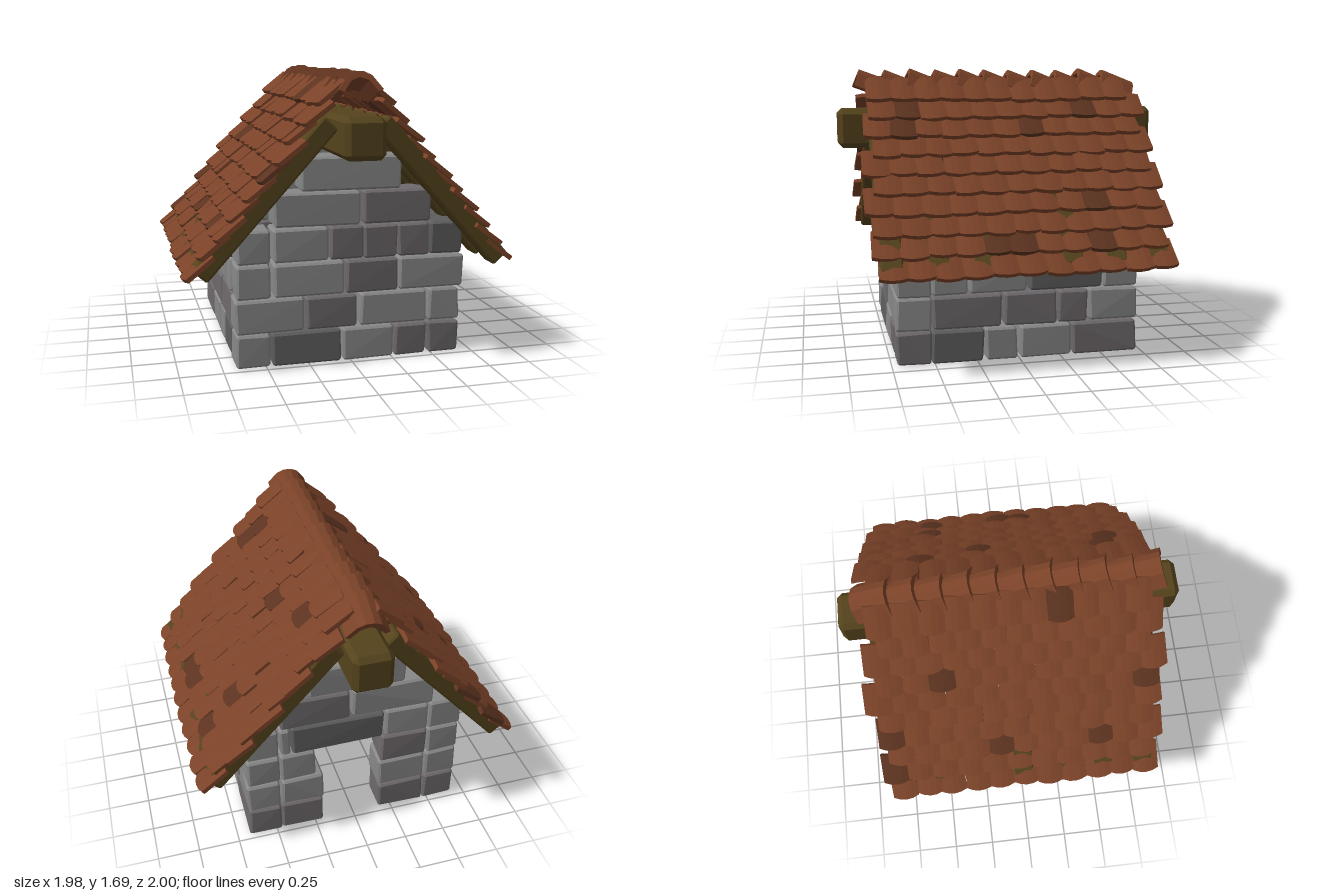
import * as THREE from 'three';
import { ConvexGeometry } from 'three/addons/geometries/ConvexGeometry.js';

const mat = (color) => new THREE.MeshStandardMaterial({ color, flatShading: true });

let seed = 7;
const rand = () => (seed = (seed * 16807) % 2147483647) / 2147483647;
const jitter = (a) => (rand() * 2 - 1) * a;

// Box with chamfered edges; each corner may be nudged for a rough-hewn look
function chamferBox(w, h, d, c, rough = 0) {
  const pts = [];
  for (const sx of [-1, 1]) for (const sy of [-1, 1]) for (const sz of [-1, 1]) {
    const x = sx * w / 2 + jitter(rough), y = sy * h / 2 + jitter(rough / 2), z = sz * d / 2 + jitter(rough);
    pts.push(
      new THREE.Vector3(x, y - sy * c, z - sz * c),
      new THREE.Vector3(x - sx * c, y, z - sz * c),
      new THREE.Vector3(x - sx * c, y - sy * c, z));
  }
  return new ConvexGeometry(pts);
}

function add(parent, name, geometry, material, x = 0, y = 0, z = 0) {
  const m = new THREE.Mesh(geometry, material);
  m.name = name;
  m.position.set(x, y, z);
  parent.add(m);
  return m;
}

// Courses of stones, bottom to top: [from, to, shade]
const FRONT = [
  [[-.67, -.48, 'L'], [-.465, -.06, 'D'], [-.045, .26, 'L'], [.27, .465, 'W'], [.48, .67, 'W']],
  [[-.675, -.28, 'L'], [-.265, .035, 'W'], [.06, .465, 'L'], [.48, .67, 'L']],
  [[-.665, -.47, 'L'], [-.45, -.045, 'L'], [-.03, .28, 'W'], [.295, .69, 'L']],
  [[-.665, -.47, 'L'], [-.455, -.135, 'L'], [-.125, .07, 'W'], [.08, .275, 'W'], [.285, .475, 'W'], [.485, .68, 'D']],
  [[-.45, .05, 'L'], [.075, .48, 'W']],
  [[-.29, .295, 'L']],
];
const BACK = [
  [[-.46, -.17, 'W'], [.2, .46, 'W']],
  [[-.46, -.16, 'L'], [.2, .46, 'L']],
  [[-.46, -.17, 'W'], [.25, .46, 'L']],
  [[-.46, -.19, 'L'], [-.175, .39, 'D'], [.4, .46, 'L']],
  [[-.48, .02, 'L'], [.04, .46, 'W']],
  [[-.295, .29, 'L']],
];
const SIDE = [
  [[-.72, -.325, 'W'], [-.31, -.005, 'L'], [.015, .2, 'L'], [.215, .515, 'D']],
  [[-.72, -.425, 'L'], [-.41, -.235, 'W'], [-.22, .09, 'W'], [.11, .51, 'W']],
  [[-.72, -.51, 'L'], [-.5, -.06, 'D'], [-.045, .29, 'L'], [.305, .51, 'L']],
  [[-.72, -.33, 'L'], [-.315, .08, 'W'], [.095, .3, 'L'], [.315, .51, 'D']],
];

function buildWalls() {
  const walls = new THREE.Group();
  walls.name = 'stoneWalls';
  const shades = { L: mat(0x888888), W: mat(0x6e696c), D: mat(0x5d5e5d) };
  const wall = (name, courses, place) => {
    const g = new THREE.Group();
    g.name = name;
    courses.forEach((course, row) => course.forEach(([a, b, shade]) => {
      const [x, z, alongZ] = place((a + b) / 2);
      const len = b - a, w = alongZ ? .2 : len, d = alongZ ? len : .2;
      add(g, 'stone', chamferBox(w, .192, d, .012, .005), shades[shade], x, .106 + row * .202, z);
    }));
    walls.add(g);
  };
  wall('frontWall', FRONT, (c) => [c, .62, false]);
  wall('backWall', BACK, (c) => [c, -.62, false]);
  wall('rightWall', SIDE, (c) => [.57, c, true]);
  wall('leftWall', SIDE, (c) => [-.57, c, true]);
  return walls;
}

// Roof tile: pivot at its lower edge, slightly arched with a rounded lower end
function tileGeometry() {
  const L = .21, g = new THREE.BoxGeometry(L, .026, 1, 1, 1, 4).translate(-L / 2, 0, 0);
  const p = g.attributes.position;
  for (let i = 0; i < p.count; i++) {
    const t = 4 * p.getZ(i) ** 2;
    p.setY(i, p.getY(i) - .008 * t);
    if (p.getX(i) > -.01) p.setX(i, p.getX(i) - .02 * t);
  }
  return g;
}

function buildSlope(name, tileMats, wood) {
  const slope = new THREE.Group();
  slope.name = name;
  // Rafters carrying the tiles
  const rafter = chamferBox(1.1, .11, .13, .012);
  for (let i = 0; i < 7; i++) {
    add(slope, 'rafter', rafter, wood, .515, 1.0, -.76 + i * 1.52 / 6).rotation.z = -.84;
  }
  // Overlapping tile rows from eave to ridge
  const tile = tileGeometry(), rows = 10, n = 11;
  for (let r = 0; r < rows; r++) {
    const half = .83 + .04 * Math.sin(r / (rows - 1) * Math.PI) + jitter(.02);
    const shift = (r % 2 ? .025 : -.025) + jitter(.015), w = 2 * half / n;
    for (let i = 0; i < n; i++) {
      const m = add(slope, 'roofTile', tile, rand() < .07 ? tileMats[1] : tileMats[0],
        .975 - r * .083 + jitter(.008), .583 + r * .102 + jitter(.006), -half + (i + .5) * w + shift);
      m.scale.z = w * 1.03;
      m.rotation.set(jitter(.06), jitter(.06), -.66 + jitter(.03));
    }
  }
  return slope;
}

// Angular cap tiles, each tucked under the lip of the next
function buildRidge(tileMat) {
  const ridge = new THREE.Group();
  ridge.name = 'ridgeTiles';
  const outer = [[-.125, -.1], [-.068, -.022], [-.025, 0], [.025, 0], [.068, -.022], [.125, -.1]];
  const inner = [[.098, -.115], [.05, -.05], [0, -.032], [-.05, -.05], [-.098, -.115]];
  const shape = new THREE.Shape([...outer, ...inner].map(([x, y]) => new THREE.Vector2(x, y)));
  const geo = new THREE.ExtrudeGeometry(shape, { depth: .22, bevelEnabled: false }).translate(0, 0, -.22);
  for (let i = 0; i < 11; i++) {
    const m = add(ridge, 'ridgeTile', geo, tileMat, jitter(.005), 1.688 + jitter(.006), .86 - i * .156);
    m.rotation.set(-.36 + jitter(.03), jitter(.03), jitter(.03));
  }
  return ridge;
}

export function createModel() {
  const model = new THREE.Group();
  model.name = 'stoneHut';
  const wood = mat(0x54431c);
  const tileMats = [mat(0x7a4228), mat(0x5c3320)];

  model.add(buildWalls());
  add(model, 'ridgeBeam', chamferBox(.235, .235, 2, .03), wood, 0, 1.333, 0);

  const right = buildSlope('rightRoof', tileMats, wood);
  const left = buildSlope('leftRoof', tileMats, wood);
  left.rotation.y = Math.PI;
  model.add(right, left, buildRidge(tileMats[0]));
  return model;
}
